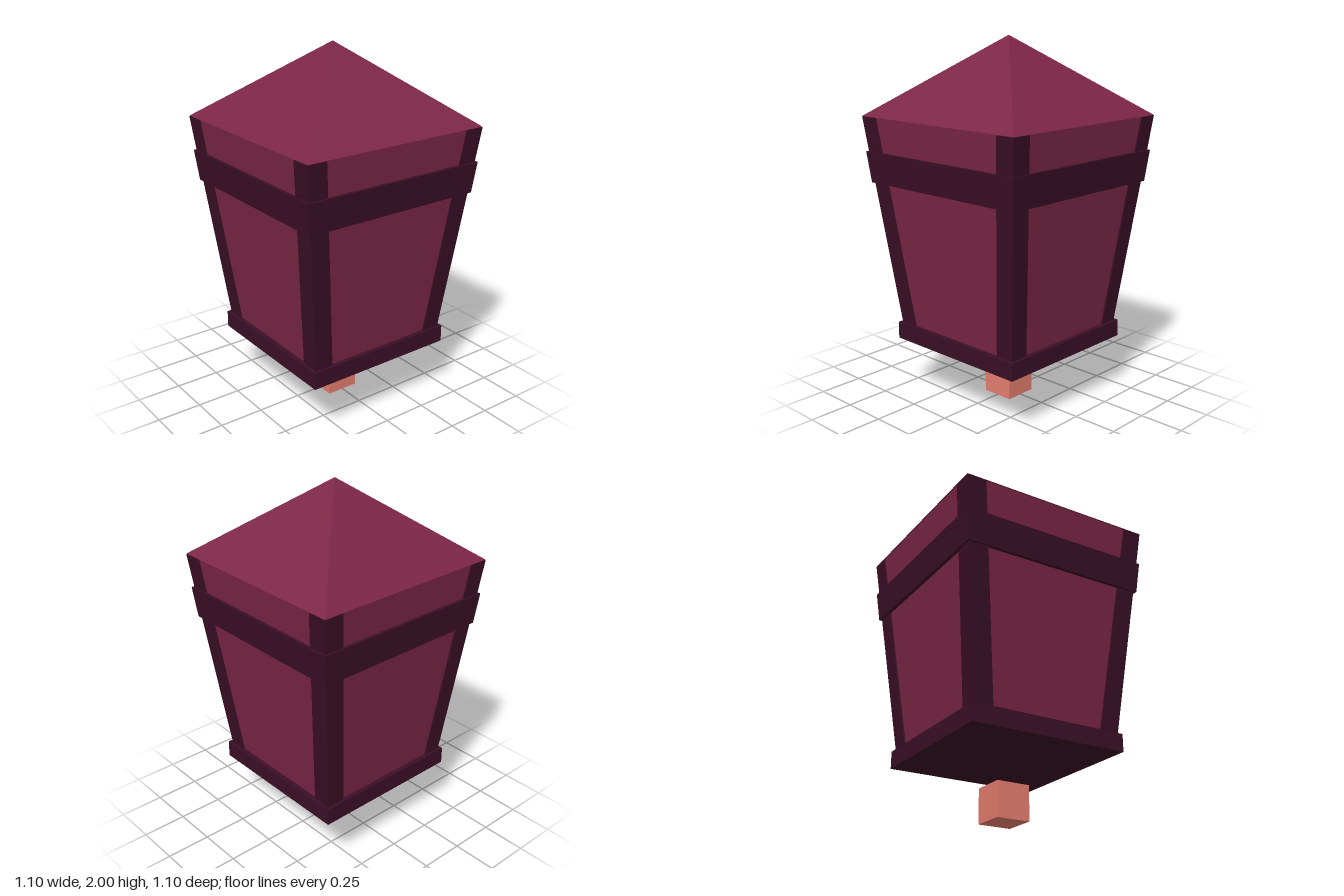
import * as THREE from 'three';

const panelRed = new THREE.MeshStandardMaterial({ color: 0x7c2646, flatShading: true });
panelRed.name = 'wine red';
const trimDark = new THREE.MeshStandardMaterial({ color: 0x3a0f25, flatShading: true });
trimDark.name = 'dark plum';
const coral = new THREE.MeshStandardMaterial({ color: 0xe47c6e, flatShading: true });
coral.name = 'coral';

// Square block from y0 to y1; half-widths h0/h1 and centre offsets c0/c1 along both diagonal signs
function taperedBlock(name, material, y0, y1, h0, h1, c0 = 0, c1 = 0, sx = 1, sz = 1) {
  const geometry = new THREE.BoxGeometry(2, 1, 2);
  const p = geometry.attributes.position;
  for (let i = 0; i < p.count; i++) {
    const top = p.getY(i) > 0;
    const h = top ? h1 : h0;
    const c = top ? c1 : c0;
    p.setXYZ(i, p.getX(i) * h + sx * c, top ? y1 : y0, p.getZ(i) * h + sz * c);
  }
  geometry.computeVertexNormals();
  const mesh = new THREE.Mesh(geometry, material);
  mesh.name = name;
  return mesh;
}

export function createModel() {
  const model = new THREE.Group();
  model.name = 'lantern';

  // Flared body with the four panels
  model.add(taperedBlock('panels', panelRed, 0.4, 1.578, 0.409, 0.544));

  // Leaning corner posts
  for (const sx of [-1, 1]) {
    for (const sz of [-1, 1]) {
      model.add(taperedBlock('cornerPost', trimDark, 0.42, 1.577, 0.053, 0.055, 0.367, 0.495, sx, sz));
    }
  }

  // Band around the body and the base plate
  model.add(taperedBlock('band', trimDark, 1.22, 1.39, 0.522, 0.54));
  model.add(taperedBlock('base', trimDark, 0.325, 0.42, 0.437, 0.437));

  // Pyramid roof
  const roofGeometry = new THREE.ConeGeometry(0.549 * Math.SQRT2, 0.42, 4);
  roofGeometry.rotateY(Math.PI / 4);
  const roof = new THREE.Mesh(roofGeometry, panelRed);
  roof.name = 'roof';
  roof.position.y = 1.79;
  model.add(roof);

  // Small cube floating beneath the base
  model.add(taperedBlock('hangingCube', coral, 0, 0.186, 0.093, 0.093));

  return model;
}
